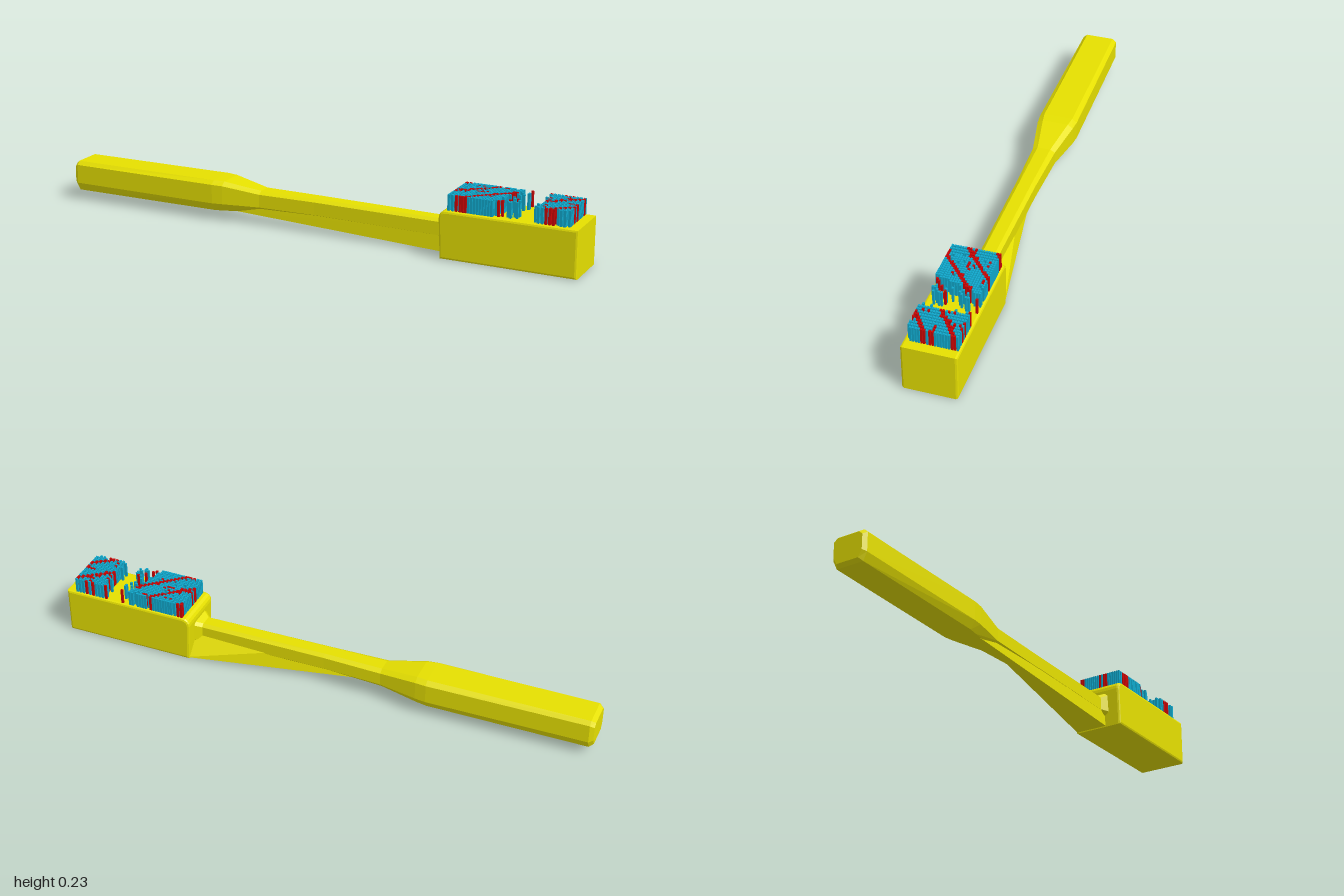
import * as THREE from 'three';
import { mergeGeometries } from 'three/addons/utils/BufferGeometryUtils.js';
import { ConvexGeometry } from 'three/addons/geometries/ConvexGeometry.js';

const mat = (name, color, flatShading = false) => {
  const m = new THREE.MeshStandardMaterial({ color, flatShading });
  m.name = name;
  return m;
};

// Chamfered eight-sided cross-section at x: y range, z range, top chamfer, bottom chamfer, side chamfer
function ring([x, y0, y1, z0, z1, ct, cb, cz]) {
  return [
    [x, y0, z0 + cz], [x, y0 + cb, z0], [x, y1 - ct, z0], [x, y1, z0 + cz],
    [x, y1, z1 - cz], [x, y1 - ct, z1], [x, y0 + cb, z1], [x, y0, z1 - cz],
  ];
}

// Skin a row of cross-sections and cap both ends
function loft(sections) {
  const pos = [];
  const tri = (a, b, c) => pos.push(...a, ...b, ...c);
  const rings = sections.map(ring);
  const n = 8;
  for (let i = 0; i < rings.length - 1; i++) {
    for (let j = 0; j < n; j++) {
      const k = (j + 1) % n;
      const a = rings[i][j], b = rings[i][k], c = rings[i + 1][k], d = rings[i + 1][j];
      tri(a, b, d);
      tri(b, c, d);
    }
  }
  const first = rings[0], last = rings[rings.length - 1];
  for (let j = 1; j < n - 1; j++) {
    tri(first[0], first[j + 1], first[j]);
    tri(last[0], last[j], last[j + 1]);
  }
  const g = new THREE.BufferGeometry();
  g.setAttribute('position', new THREE.Float32BufferAttribute(pos, 3));
  g.computeVertexNormals();
  return g;
}

export function createModel() {
  const model = new THREE.Group();
  model.name = 'toothbrush';
  const yellow = mat('yellow plastic', 0xe6e000, true);
  const teal = mat('teal bristle', 0x10a8cc);
  const red = mat('red bristle', 0xcc0404);
  const add = (name, geometry, material) => {
    const m = new THREE.Mesh(geometry, material);
    m.name = name;
    model.add(m);
  };

  // Grip tapering into the slim neck
  add('handle', loft([
    [-1.0, 0.045, 0.137, -0.058, 0.055, 0.012, 0.025, 0.014],
    [-0.985, 0.035, 0.148, -0.068, 0.065, 0.013, 0.03, 0.014],
    [-0.4, 0.035, 0.148, -0.076, 0.068, 0.013, 0.03, 0.018],
    [-0.36, 0.036, 0.147, -0.072, 0.064, 0.013, 0.03, 0.02],
    [-0.22, 0.046, 0.124, -0.045, 0.039, 0.01, 0.02, 0.018],
    [0.0, 0.055, 0.124, -0.038, 0.034, 0.01, 0.012, 0.014],
    [0.48, 0.05, 0.12, -0.034, 0.032, 0.01, 0.012, 0.012],
    [0.515, 0.045, 0.14, -0.06, 0.056, 0.01, 0.012, 0.012],
  ]), yellow);

  // Skewed brace running from the grip to the lower back edge of the head
  add('brace', new ConvexGeometry([
    [-0.33, 0.039, 0.035], [-0.2, 0.07, 0.033], [0.2, 0.075, -0.03],
    [0.52, 0.004, -0.092], [0.52, 0.004, 0.034], [0.52, 0.075, 0.031], [0.52, 0.075, -0.033],
  ].map(p => new THREE.Vector3(...p))), yellow);

  // Head block with softened corners on the neck side
  const b = 0.008;
  const x0 = 0.502 + b, x1 = 1 - b, y0 = b, y1 = 0.173 - b, r = 0.022;
  const profile = new THREE.Shape();
  profile.moveTo(x0 + 0.006, y0);
  profile.lineTo(x1, y0);
  profile.lineTo(x1, y1);
  profile.lineTo(x0 + r, y1);
  profile.quadraticCurveTo(x0, y1, x0, y1 - r);
  profile.closePath();
  const head = new THREE.ExtrudeGeometry(profile, {
    depth: 0.192 - 2 * b, bevelEnabled: true, bevelSize: b, bevelThickness: b,
    bevelSegments: 2, curveSegments: 4,
  });
  head.translate(0, 0, -0.095 + b);
  add('head', head, yellow);

  // Bristles in columns along x: two dense tufts, thinned along a slanted edge between them
  let seed = 7;
  const rand = () => (seed = (seed * 16807) % 2147483647) / 2147483647;
  const tealParts = [], redParts = [];
  const columns = [];
  for (let x = 0.535; x < 0.58; x += 0.0135) columns.push(x);
  for (let x = 0.585; x < 0.782; x += 0.0105) columns.push(x);
  for (let x = 0.842; x < 0.965; x += 0.0132) columns.push(x);
  columns.forEach((x, i) => {
    for (let j = 0; j < 19; j++) {
      const z = -0.084 + j * 0.0092;
      const slant = 0.745 - (z + 0.084) * 0.3;
      let density = 0.96;
      if (x > slant && x < 0.79) density = 0.18;
      else if (x > 0.835 && x < 0.85) density = 0.4;
      if (rand() > density) continue;
      const g = new THREE.BoxGeometry(0.0085, 0.064, 0.0068);
      g.translate(x, 0.198, z);
      const stripe = (i + j) % 11 < 2 || (j === 9 && i % 6 < 3);
      (stripe || rand() < 0.04 ? redParts : tealParts).push(g);
    }
  });
  add('tealBristles', mergeGeometries(tealParts), teal);
  add('redBristles', mergeGeometries(redParts), red);
  return model;
}
